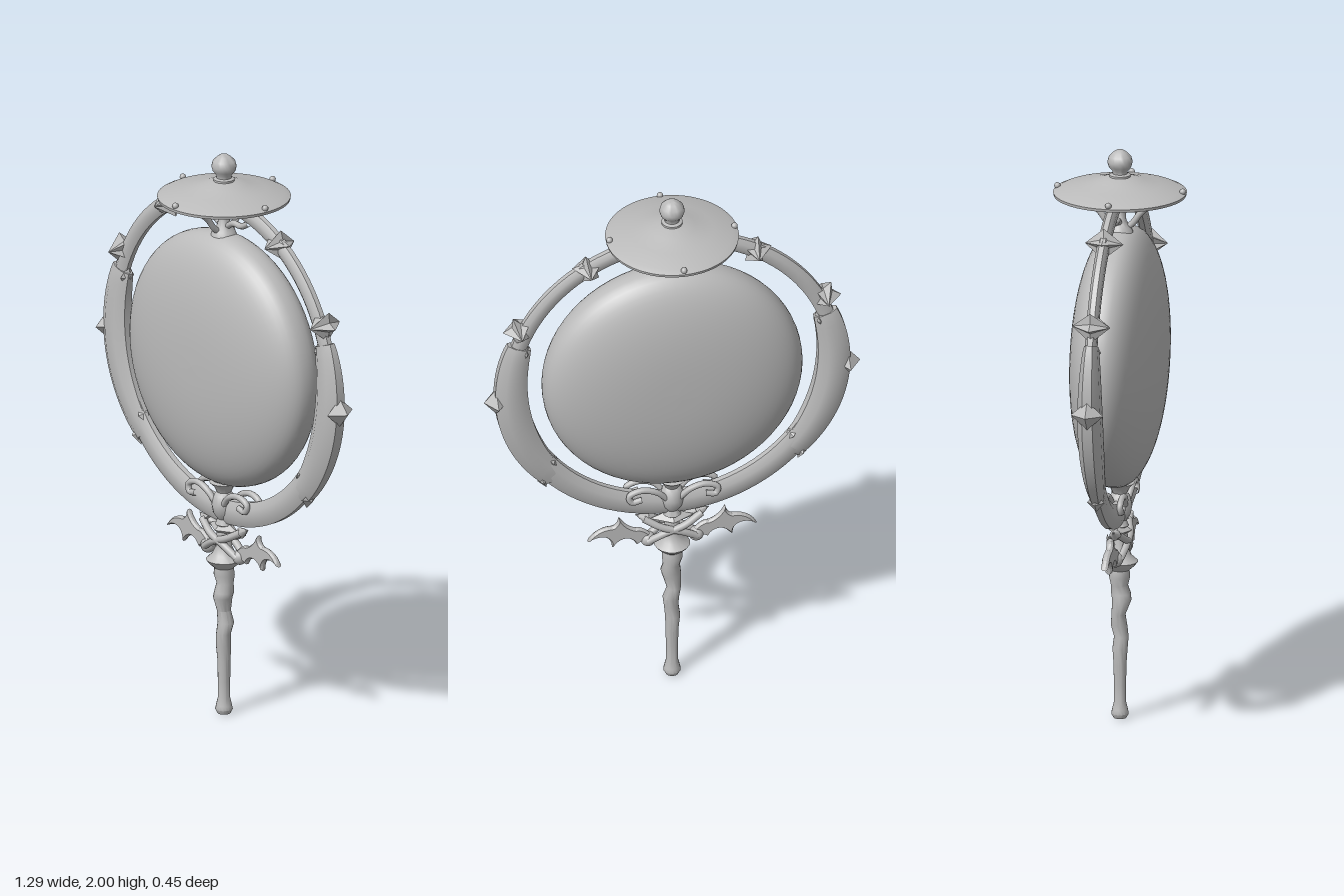
import * as THREE from 'three';
import { toCreasedNormals } from 'three/addons/utils/BufferGeometryUtils.js';

const CY = 1.275; // centre height of the hoop and disc

// Sweep an eight-sided bar around the hoop; size(t) gives [inner radius, outer radius, half depth]
function hoopBar(a0, a1, n, size) {
  const pos = [], idx = [], S = 8;
  for (let i = 0; i <= n; i++) {
    const t = i / n, a = a0 + (a1 - a0) * t;
    const [ri, ro, hz] = size(t);
    const w = ro - ri;
    const sec = [[ro, -hz * 0.45], [ro, hz * 0.45], [ro - w * 0.3, hz], [ri + w * 0.3, hz],
      [ri, hz * 0.45], [ri, -hz * 0.45], [ri + w * 0.3, -hz], [ro - w * 0.3, -hz]];
    for (const [r, z] of sec) pos.push(r * Math.cos(a), r * Math.sin(a), z);
  }
  for (let i = 0; i < n; i++) for (let j = 0; j < S; j++) {
    const p = i * S + j, q = i * S + (j + 1) % S;
    idx.push(p, p + S, q, q, p + S, q + S);
  }
  for (let j = 1; j < S - 1; j++) {
    idx.push(0, j, j + 1);
    idx.push(n * S, n * S + j + 1, n * S + j);
  }
  const g = new THREE.BufferGeometry();
  g.setAttribute('position', new THREE.Float32BufferAttribute(pos, 3));
  g.setIndex(idx);
  return toCreasedNormals(g, 0.6);
}

// Five-pointed star with a raised peak on both faces
function starGeometry(r, depth) {
  const pos = [];
  const pt = k => {
    const a = Math.PI / 2 + k * Math.PI / 5, s = k % 2 ? r * 0.52 : r;
    return [s * Math.cos(a), s * Math.sin(a), 0];
  };
  for (let k = 0; k < 10; k++) {
    pos.push(...pt(k), ...pt(k + 1), 0, 0, depth);
    pos.push(...pt(k + 1), ...pt(k), 0, 0, -depth);
  }
  const g = new THREE.BufferGeometry();
  g.setAttribute('position', new THREE.Float32BufferAttribute(pos, 3));
  g.computeVertexNormals();
  return g;
}

const lathe = (pts, seg = 32, crease = 0.7) =>
  toCreasedNormals(new THREE.LatheGeometry(pts.map(p => new THREE.Vector2(...p)), seg), crease);

const tube = (pts, r, seg = 24) => new THREE.TubeGeometry(
  new THREE.CatmullRomCurve3(pts.map(p => new THREE.Vector3(...p))), seg, r, 8);

export function createModel() {
  const root = new THREE.Group();
  const grey = new THREE.MeshStandardMaterial({ color: 0xbbbbbb });
  grey.name = 'plain grey';
  const add = (name, geo, x = 0, y = 0, z = 0, parent = root) => {
    const m = new THREE.Mesh(geo, grey);
    m.name = name;
    m.position.set(x, y, z);
    parent.add(m);
    return m;
  };

  // Handle: gently twisting grip, pommel and flared guard
  const grip = new THREE.LatheGeometry([
    [0, 0.003], [0.022, 0.005], [0.03, 0.02], [0.027, 0.035], [0.021, 0.06], [0.021, 0.12], [0.022, 0.19],
    [0.026, 0.25], [0.025, 0.29], [0.028, 0.33], [0.024, 0.37], [0.033, 0.42], [0.034, 0.44], [0.029, 0.47],
    [0.036, 0.5], [0.033, 0.525], [0.05, 0.54], [0.062, 0.555], [0.04, 0.575], [0.028, 0.6],
    [0.024, 0.68], [0, 0.7]].map(p => new THREE.Vector2(...p)), 16);
  const gp = grip.attributes.position;
  for (let i = 0; i < gp.count; i++) {
    const y = gp.getY(i);
    const k = 0.007 * Math.max(0, Math.sin((y - 0.22) / 0.3 * Math.PI)) * (y > 0.22 && y < 0.52 ? 1 : 0);
    gp.setX(i, gp.getX(i) + k * Math.sin(y * 45));
    gp.setZ(i, gp.getZ(i) + k * Math.cos(y * 45));
  }
  add('handle', toCreasedNormals(grip, 0.7));

  // Beads and collar linking handle, hoop and disc
  add('lowerStem', lathe([[0, 0.66], [0.03, 0.68], [0.022, 0.7], [0.036, 0.72], [0.042, 0.75], [0.034, 0.785],
    [0.024, 0.795], [0.034, 0.815], [0.05, 0.83], [0, 0.845]], 20));
  const gem = add('guardGem', new THREE.OctahedronGeometry(1), 0, 0.665, 0);
  gem.scale.set(0.075, 0.03, 0.042);

  // Disc: cushion shape with a rounded rim
  const profile = [];
  for (let i = 0; i <= 32; i++) {
    const a = -Math.PI / 2 + Math.PI * i / 32, e = 2 / 2.35;
    profile.push([i % 32 ? 0.447 * Math.cos(a) ** e : 0, 0.145 * Math.sign(Math.sin(a)) * Math.abs(Math.sin(a)) ** e]);
  }
  const disc = add('disc', new THREE.LatheGeometry(profile.map(p => new THREE.Vector2(...p)), 64), 0, CY, 0);
  disc.rotation.x = Math.PI / 2;

  // Hoop: slim above, wider below
  const deg = Math.PI / 180;
  add('upperHoop', hoopBar(0, Math.PI, 48, () => [0.53, 0.585, 0.02]), 0, CY, 0);
  add('lowerHoop', hoopBar(Math.PI, 2 * Math.PI, 48, t => {
    const s = Math.sin(t * Math.PI);
    return [0.505 - 0.003 * s, 0.587, 0.03 - 0.008 * s];
  }), 0, CY, 0);

  // Bat wing outline for the guard
  const wing = new THREE.Shape();
  wing.moveTo(0.06, 0.585);
  wing.quadraticCurveTo(0.1, 0.635, 0.125, 0.63);
  wing.quadraticCurveTo(0.16, 0.64, 0.182, 0.682);
  wing.quadraticCurveTo(0.185, 0.655, 0.205, 0.648);
  wing.quadraticCurveTo(0.26, 0.65, 0.288, 0.602);
  wing.quadraticCurveTo(0.25, 0.625, 0.222, 0.608);
  wing.quadraticCurveTo(0.205, 0.595, 0.205, 0.568);
  wing.quadraticCurveTo(0.18, 0.605, 0.15, 0.597);
  wing.quadraticCurveTo(0.13, 0.59, 0.122, 0.57);
  wing.quadraticCurveTo(0.1, 0.585, 0.06, 0.585);
  const wingGeo = new THREE.ExtrudeGeometry(wing, {
    depth: 0.008, bevelEnabled: true, bevelThickness: 0.008, bevelSize: 0.005, bevelOffset: -0.003,
    bevelSegments: 1, curveSegments: 6 });
  wingGeo.translate(0, 0, -0.004);

  // Everything that repeats on both sides
  for (const side of [1, -1]) {
    const half = new THREE.Group();
    half.name = side > 0 ? 'leftOrnaments' : 'rightOrnaments';
    half.rotation.y = side > 0 ? 0 : Math.PI;
    root.add(half);

    add('armourPlate', hoopBar(-43 * deg, 19 * deg, 24, t => {
      const s = Math.sin(Math.PI * t) ** 0.7;
      return [0.515 - 0.018 * s, 0.598 + 0.014 * s, 0.022 + 0.018 * s];
    }), 0, CY, 0, half);
    const knob = add('sideSpike', new THREE.OctahedronGeometry(1), 0.605, 1.235, 0, half);
    knob.scale.set(0.042, 0.05, 0.056);

    // Barbs at the plate ends
    for (const [x, y, tilt, len] of [[0.505, 1.43, 0.15, 0.042], [0.412, 0.962, -0.75, 0.045], [0.445, 0.885, -0.35, 0.038]]) {
      const barb = add('plateBarb', new THREE.OctahedronGeometry(1), x, y, 0, half);
      barb.scale.set(0.019, len, 0.03);
      barb.rotation.z = tilt;
    }

    // Stars
    for (const [x, y, tilt] of [[0.527, 1.525, -0.38], [0.289, 1.75, -0.14]])
      add('star', starGeometry(0.055, 0.066), x, y, 0, half).rotation.z = tilt;

    // Curls on the hoop, ribbons and bat wing on the guard
    add('bowCurl', tube([[0.02, 0.755, 0.02], [0.06, 0.795, 0.028], [0.11, 0.808, 0.028], [0.152, 0.79, 0.028],
      [0.145, 0.765, 0.03], [0.11, 0.77, 0.03]], 0.011), 0, 0, 0, half);
    add('bowCurl', tube([[0.02, 0.755, -0.02], [0.06, 0.795, -0.028], [0.11, 0.808, -0.028], [0.152, 0.79, -0.028],
      [0.145, 0.765, -0.03], [0.11, 0.77, -0.03]], 0.011), 0, 0, 0, half);
    for (const z of [0.026, -0.026])
      add('guardRibbon', tube([[-0.1, 0.675, z * 0.4], [-0.04, 0.642, z], [0.03, 0.615, z],
        [0.085, 0.582, z * 0.6]], 0.013), 0, 0, 0, half);
    add('guardBall', new THREE.SphereGeometry(0.026, 16, 12), 0.083, 0.582, 0, half);
    add('guardTip', new THREE.ConeGeometry(0.02, 0.045, 8), 0.108, 0.68, 0, half).rotation.z = -1.1;
    add('batWing', wingGeo, 0, 0, 0, half);

    // Hooks under the canopy, sideways and along the depth
    add('sideHook', tube([[0.13, 1.785, 0], [0.09, 1.765, 0], [0.05, 1.765, 0], [0, 1.735, 0]], 0.011),
      0, 0, 0, half);
    add('canopyBracket', tube([[0, 1.85, 0.205], [0, 1.825, 0.13], [0, 1.785, 0.075], [0, 1.74, 0.04],
      [0, 1.715, 0]], 0.011), 0, 0, 0, half);

    // Rim studs
    add('rimStud', new THREE.SphereGeometry(0.011, 12, 8), 0.215, 1.862, 0, half);
    add('rimStud', new THREE.SphereGeometry(0.011, 12, 8), 0, 1.862, 0.215, half);
  }

  // Upper collar and stem
  add('upperStem', lathe([[0, 1.7], [0.045, 1.712], [0.038, 1.73], [0.022, 1.75], [0.018, 1.8],
    [0.03, 1.84], [0.03, 1.885], [0, 1.886]], 16));

  // Canopy: thin sloped shell with a hollow underside
  add('canopy', lathe([[0, 1.883], [0.06, 1.88], [0.14, 1.862], [0.205, 1.845], [0.224, 1.842], [0.226, 1.852],
    [0.205, 1.862], [0.14, 1.877], [0.08, 1.893], [0.045, 1.905], [0, 1.907]], 48));

  // Finial
  add('finial', lathe([[0, 1.9], [0.036, 1.9], [0.036, 1.912], [0.025, 1.916], [0.026, 1.926], [0.038, 1.94],
    [0.043, 1.957], [0.038, 1.976], [0.024, 1.99], [0.012, 1.998], [0, 2]], 24, 1));

  return root;
}
